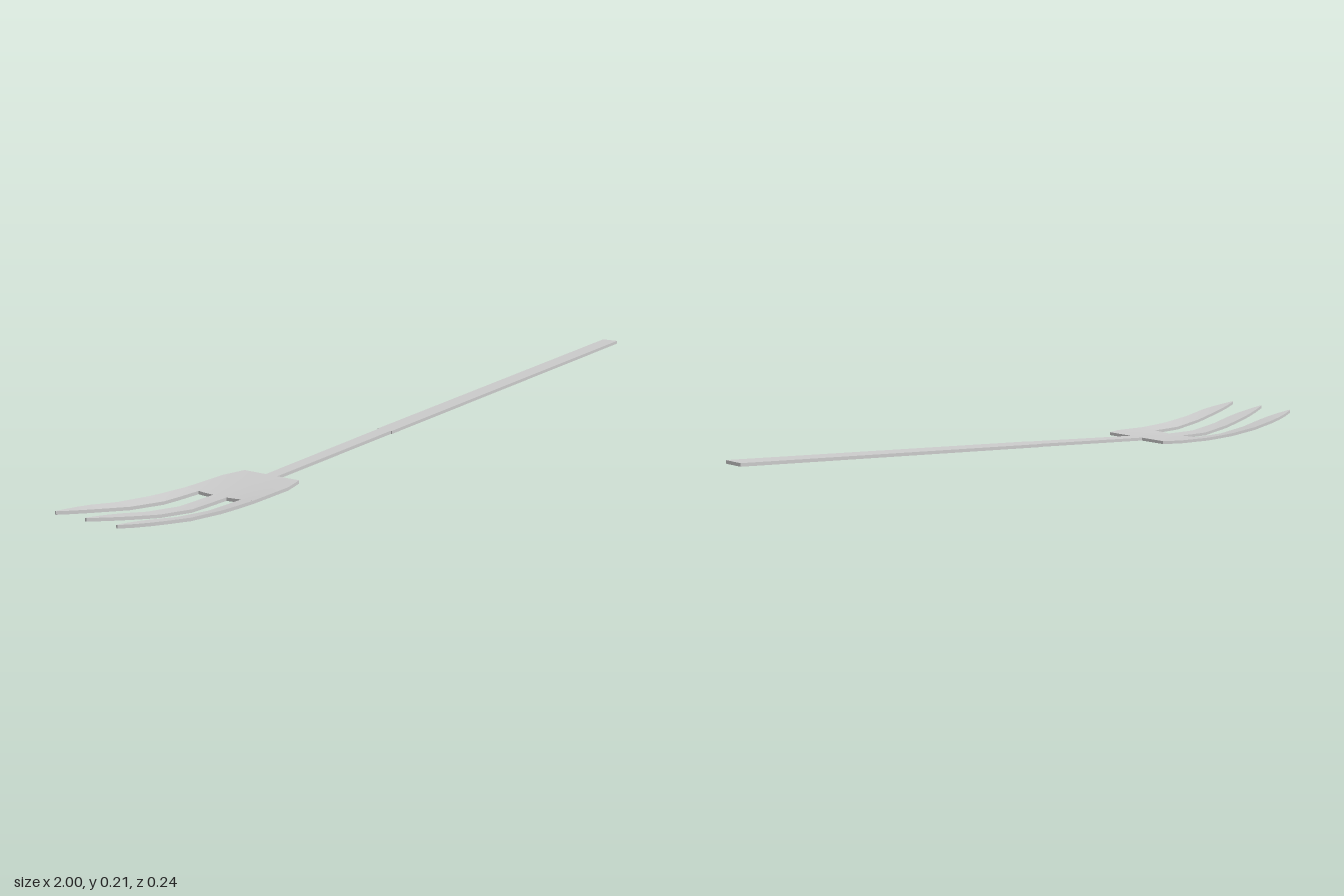
import * as THREE from 'three';

const THICKNESS = 0.008;
const material = new THREE.MeshStandardMaterial({ color: 0xcccccc });

// Side profile of the fork: [x, height of the mid surface]
const PROFILE = [[-1, 0.035], [-0.9, 0.023], [-0.8, 0.01], [-0.7, 0.0045],
  [-0.6, 0.012], [-0.5, 0.0245], [-0.415, 0.035], [0, 0.085], [1, 0.203]];

function profileHeight(x) {
  let i = 0;
  while (i < PROFILE.length - 2 && x > PROFILE[i + 1][0]) i++;
  const [a, b] = [PROFILE[i], PROFILE[i + 1]];
  return THREE.MathUtils.mapLinear(x, a[0], b[0], a[1], b[1]);
}

// The head is slightly cupped: its sides rise, fading out at the tips and neck
function cup(x, z) {
  const fade = Math.max(0, 1 - Math.abs(x + 0.7) / 0.29);
  return 0.85 * z * z * fade;
}

// A thin strip through stations [x, low z, high z], bent onto the profile
function strip(name, stations, across = 2) {
  const n = stations.length - 1;
  const geometry = new THREE.BoxGeometry(1, 1, 1, n, 1, across);
  const pos = geometry.attributes.position;
  for (let i = 0; i < pos.count; i++) {
    const [x, lo, hi] = stations[Math.round((pos.getX(i) + 0.5) * n)];
    const z = THREE.MathUtils.lerp(lo, hi, pos.getZ(i) + 0.5);
    pos.setXYZ(i, x, profileHeight(x) + cup(x, z) + pos.getY(i) * THICKNESS, z);
  }
  geometry.computeVertexNormals();
  const mesh = new THREE.Mesh(geometry, material);
  mesh.name = name;
  return mesh;
}

export function createModel() {
  const fork = new THREE.Group();
  fork.name = 'fork';

  // Narrow neck and wider grip
  fork.add(strip('neck', [[-0.415, -0.019, 0.019], [0, -0.021, 0.021]]));
  fork.add(strip('handle', [[0, -0.024, 0.024], [1, -0.024, 0.024]]));

  // Palm with chamfered rear corners
  const palm = [[-0.59, 0.111], [-0.53, 0.109], [-0.47, 0.107], [-0.415, 0.09]];
  fork.add(strip('palm', palm.map(([x, w]) => [x, -w, w]), 8));

  // Middle tine
  const middle = [[-1, 0.002], [-0.96, 0.011], [-0.92, 0.018], [-0.87, 0.022],
    [-0.8, 0.022], [-0.75, 0.022], [-0.7, 0.022], [-0.65, 0.022], [-0.59, 0.022]];
  fork.add(strip('middleTine', middle.map(([x, w]) => [x, -w, w])));

  // Outer tines, splayed a little and pointed at the ends
  const outer = [[-1, 0.098, 0.102], [-0.96, 0.089, 0.112], [-0.92, 0.083, 0.119],
    [-0.88, 0.08, 0.122], [-0.8, 0.077, 0.12], [-0.75, 0.075, 0.118],
    [-0.7, 0.073, 0.116], [-0.65, 0.071, 0.114], [-0.59, 0.07, 0.111]];
  fork.add(strip('frontTine', outer));
  fork.add(strip('backTine', outer.map(([x, a, b]) => [x, -b, -a])));

  return fork;
}
